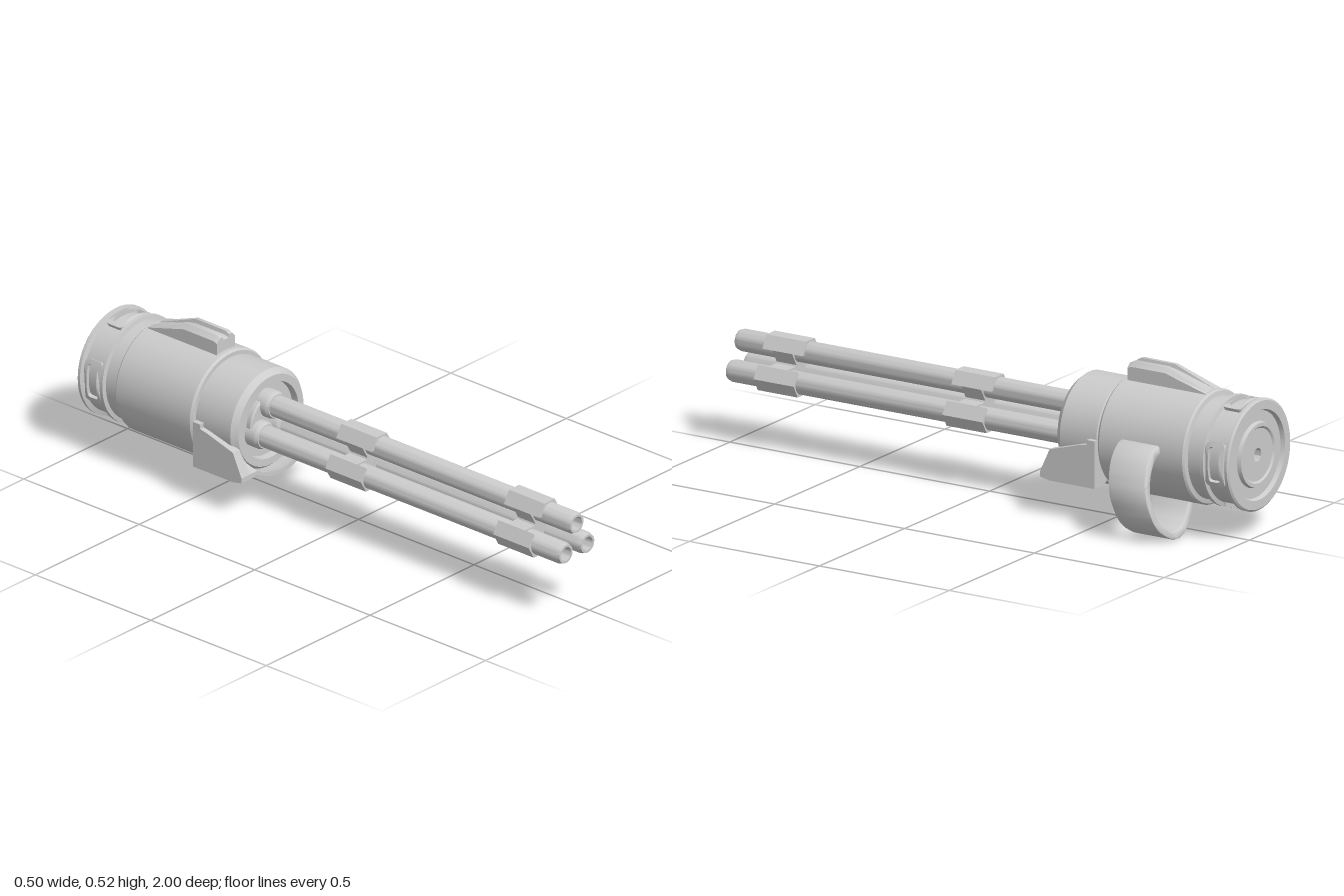
import * as THREE from 'three';
import { toCreasedNormals } from 'three/addons/utils/BufferGeometryUtils.js';

const material = new THREE.MeshStandardMaterial({ color: 0xcccccc });
const V = (x, y) => new THREE.Vector2(x, y);

function add(parent, name, geometry, crease = 0.5) {
  const mesh = new THREE.Mesh(toCreasedNormals(geometry, crease), material);
  mesh.name = name;
  parent.add(mesh);
  return mesh;
}

// Solid of revolution about z, from [radius, z] pairs running back to front
function turned(pairs, segments) {
  return new THREE.LatheGeometry(pairs.map(([r, z]) => V(r, z)), segments).rotateX(Math.PI / 2);
}

// Prism between two z positions
function prism(points, z0, z1) {
  const shape = new THREE.Shape(points);
  return new THREE.ExtrudeGeometry(shape, { depth: z1 - z0, bevelEnabled: false }).translate(0, 0, z0);
}

// Extrusion whose layers sit at the given z stations; rule adjusts x, y per layer
function layered(points, stations, rule) {
  const steps = stations.length - 1;
  const g = new THREE.ExtrudeGeometry(new THREE.Shape(points), { depth: steps, steps, bevelEnabled: false });
  const p = g.attributes.position;
  for (let i = 0; i < p.count; i++) {
    const k = Math.round(p.getZ(i));
    const [x, y] = rule(p.getX(i), p.getY(i), k);
    p.setXYZ(i, x, y, stations[k]);
  }
  return g;
}

function roundedRect(path, w, h, r) {
  path.moveTo(-w + r, -h).lineTo(w - r, -h).absarc(w - r, -h + r, r, -Math.PI / 2, 0);
  path.lineTo(w, h - r).absarc(w - r, h - r, r, 0, Math.PI / 2);
  path.lineTo(-w + r, h).absarc(-w + r, h - r, r, Math.PI / 2, Math.PI);
  path.lineTo(-w, -h + r).absarc(-w + r, -h + r, r, Math.PI, Math.PI * 1.5);
  return path;
}

// Window frame wrapped on the rear collar
function windowFrame() {
  const outer = roundedRect(new THREE.Shape(), 0.072, 0.036, 0.014).getSpacedPoints(72);
  const inner = roundedRect(new THREE.Path(), 0.056, 0.021, 0.009).getSpacedPoints(72);
  const shape = new THREE.Shape(outer);
  shape.holes.push(new THREE.Path(inner));
  const g = new THREE.ExtrudeGeometry(shape, { depth: 0.018, bevelEnabled: false });
  const p = g.attributes.position;
  for (let i = 0; i < p.count; i++) {
    const a = p.getX(i) / 0.17, r = 0.164 + p.getZ(i);
    p.setXYZ(i, Math.sin(a) * r, Math.cos(a) * r, -0.94 - p.getY(i));
  }
  return g;
}

export function createModel() {
  const model = new THREE.Group();
  model.name = 'rotaryBlaster';
  const axis = new THREE.Group();
  axis.name = 'axisAssembly';
  axis.position.set(-0.06, 0.273, 0);
  model.add(axis);

  // Housing: rear cap, collar with rings, main drum, front drum with recessed face
  add(axis, 'housing', turned([
    [0, -0.965], [0.022, -0.965], [0.022, -0.992], [0.088, -0.992], [0.094, -0.998], [0.106, -0.998], [0.11, -0.985],
    [0.145, -0.985], [0.15, -1], [0.18, -1], [0.186, -0.995], [0.186, -0.985], [0.17, -0.98],
    [0.17, -0.905], [0.184, -0.902], [0.184, -0.89], [0.17, -0.887], [0.17, -0.835], [0.185, -0.832],
    [0.19, -0.826], [0.19, -0.506], [0.184, -0.498], [0.17, -0.498], [0.17, -0.488],
    [0.174, -0.485], [0.174, -0.345], [0.157, -0.325], [0.132, -0.325], [0.129, -0.35], [0, -0.35],
  ], 64));
  add(axis, 'barrelHub', turned([[0.09, -0.352], [0.09, -0.335], [0.085, -0.33], [0, -0.33]], 48));

  // Window frames round the rear collar
  for (let i = 0; i < 4; i++) add(axis, 'windowFrame', windowFrame()).rotation.z = i * Math.PI / 2;

  // Three barrels, each with its share of the two clamps
  const R = 0.049, h = R * 0.866;
  const outerHalf = [V(R, 0), V(R / 2, h), V(-R / 2, h), V(-R, 0)];
  const innerHalf = [V(-R, 0), V(-R / 2, -h), V(R / 2, -h), V(R, 0)];
  for (let i = 0; i < 3; i++) {
    const spoke = new THREE.Group();
    spoke.name = 'barrelAssembly';
    spoke.rotation.z = i * Math.PI * 2 / 3;
    axis.add(spoke);
    const parts = [
      ['barrel', turned([[0.037, -0.35], [0.037, 0.985], [0.032, 1], [0.024, 1], [0.023, 0.9], [0, 0.9]], 28)],
      ['barrelSocket', turned([[0.047, -0.35], [0.047, -0.31], [0.041, -0.298], [0.03, -0.298]], 28)],
    ];
    for (const z of [0.078, 0.805]) {
      parts.push(['clampJaw', prism(outerHalf, z - 0.077, z + 0.077)]);
      parts.push(['clampInner', prism(innerHalf, z - 0.038, z + 0.038)]);
    }
    for (const [name, g] of parts) add(spoke, name, g).position.y = 0.06;
  }
  // Clamp webs joining the barrels
  for (const z of [0.078, 0.805]) {
    const tri = [0, 1, 2].map(i => {
      const a = Math.PI / 2 + i * Math.PI * 2 / 3;
      return V(Math.cos(a) * 0.06, Math.sin(a) * 0.06);
    });
    add(axis, 'clampWeb', prism(tri, z - 0.036, z + 0.036));
  }

  // Top rail: twin ridges with a channel, sloping down to the rear
  const half = [[0.044, -0.01], [0.044, 0.048], [0.028, 0.064], [0.015, 0.064], [0.012, 0.051]];
  const rail = [...half.map(([x, y]) => V(x, y)), ...half.map(([x, y]) => V(-x, y)).reverse()];
  const fall = [0.08, 1, 1, 0.88];
  add(axis, 'topRail', layered(rail, [-0.82, -0.665, -0.535, -0.52],
    (x, y, k) => [x, 0.183 + (y > 0 ? y * fall[k] : y)]));

  // Under-chin bracket: square cheeks joined by a curved pan, front sloped back
  const chin = [V(-0.192, 0), V(-0.192, -0.15), V(-0.135, -0.15), V(-0.118, -0.138)];
  for (let i = 0; i <= 14; i++) {
    const a = Math.PI * (1.29 + 0.42 * i / 14);
    chin.push(V(Math.cos(a) * 0.182, Math.sin(a) * 0.182));
  }
  chin.push(V(0.118, -0.138), V(0.135, -0.15), V(0.192, -0.15), V(0.192, 0));
  for (let i = 0; i <= 24; i++) {
    const a = -Math.PI * i / 24;
    chin.push(V(Math.cos(a) * 0.166, Math.sin(a) * 0.166));
  }
  const limit = [0, -0.012, -0.045, -0.125];
  add(axis, 'chinBracket', layered(chin, [-0.49, -0.43, -0.317, -0.28],
    (x, y, k) => [x, Math.min(y, limit[k]) + (k === 3 && y < -0.15 ? 0.008 : 0)]), 0.4);
  // Raised lip stepping up at the back of each cheek
  for (const s of [-1, 1]) {
    const lip = new THREE.BoxGeometry(0.022, 0.05, 0.03).translate(s * 0.181, -0.015, -0.475);
    add(axis, 'cheekLip', lip);
  }

  // Strap handle: flat looped band, skewed towards the rear as it drops
  const path = new THREE.SplineCurve([
    V(0.10, 0.293), V(0.15, 0.287), V(0.205, 0.24), V(0.236, 0.16), V(0.217, 0.078),
    V(0.168, 0.033), V(0.11, 0.016), V(0.052, 0.04), V(0.012, 0.085), V(-0.005, 0.12),
  ]);
  const sides = [[], []];
  for (let i = 0; i <= 40; i++) {
    const p = path.getPointAt(i / 40), t = path.getTangentAt(i / 40);
    sides[0].push(V(p.x - t.y * 0.009, p.y + t.x * 0.009));
    sides[1].unshift(V(p.x + t.y * 0.009, p.y - t.x * 0.009));
  }
  const strap = new THREE.ExtrudeGeometry(new THREE.Shape([...sides[0], ...sides[1]]), {
    depth: 0.13, bevelThickness: 0.008, bevelSize: 0.005, bevelSegments: 2,
  });
  const sp = strap.attributes.position;
  for (let i = 0; i < sp.count; i++) sp.setZ(i, sp.getZ(i) - 0.795 + 0.22 * sp.getY(i));
  add(model, 'strapHandle', strap, 0.7);

  return model;
}
